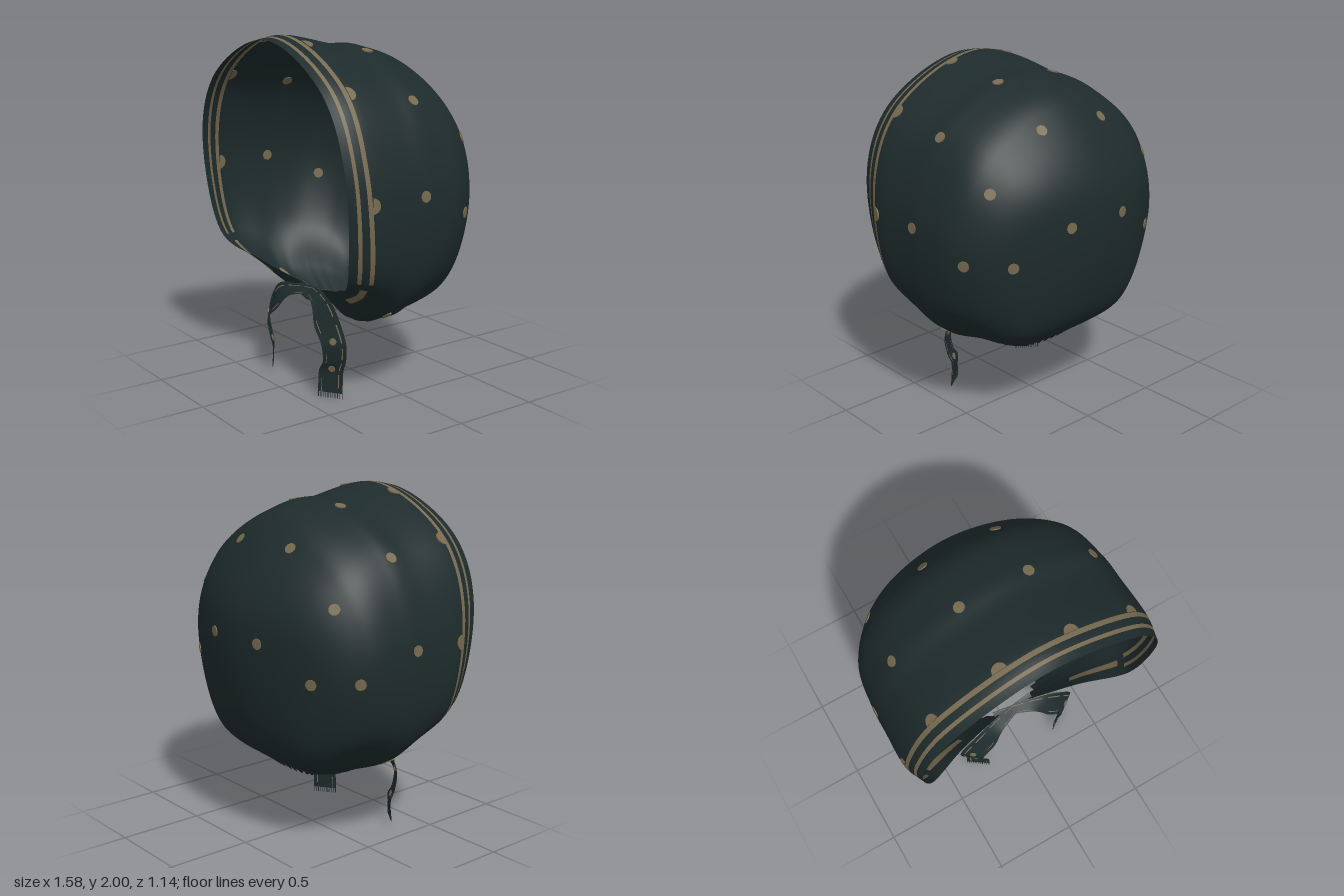
import * as THREE from 'three';

const cloth = new THREE.MeshStandardMaterial({ color: 0x1e2b2c });
cloth.name = 'darkCloth';
const trim = new THREE.MeshStandardMaterial({ color: 0x776a50 });
trim.name = 'tanPrint';
cloth.side = trim.side = THREE.DoubleSide;

// Half arches from crown to neck edge, ordered from the face rim to the nape
const ARCHES = [
  [[0, 1.98, .57], [.525, 1.765, .575], [.728, 1.36, .56], [.665, .805, .495], [.4, .65, .37], [.1, .57, .28]],
  [[0, 2, .42], [.55, 1.775, .42], [.762, 1.35, .415], [.735, .8, .36], [.46, .56, .27], [.14, .5, .24]],
  [[0, 1.945, .15], [.55, 1.74, .17], [.765, 1.32, .18], [.742, .8, .17], [.55, .53, .17], [.2, .42, .18]],
  [[0, 1.93, -.03], [.54, 1.73, -.02], [.76, 1.3, 0], [.735, .79, .02], [.55, .52, .06], [.26, .385, .09]],
  [[0, 1.8, -.3], [.51, 1.6, -.29], [.725, 1.22, -.22], [.69, .77, -.14], [.5, .53, -.03], [.27, .385, 0]],
  [[0, 1.35, -.555], [.36, 1.29, -.5], [.58, 1.05, -.39], [.575, .7, -.28], [.44, .51, -.13], [.25, .385, -.07]],
  [[0, .68, -.47], [.22, .66, -.445], [.38, .6, -.38], [.4, .53, -.29], [.32, .45, -.2], [.2, .385, -.13]],
  [[0, .385, -.18], [.05, .385, -.18], [.09, .385, -.175], [.13, .385, -.165], [.16, .385, -.155], [.18, .385, -.14]],
];

const spline = (pts) => new THREE.CatmullRomCurve3(pts.map((p) => new THREE.Vector3(...p)), false, 'catmullrom', 0.5);

// Grid surface; isTrim(column, row) picks the tan cells
function gridGeometry(rows, isTrim) {
  const pos = [], plain = [], tan = [], n = rows[0].length;
  rows.forEach((row) => row.forEach((p) => pos.push(p.x, p.y, p.z)));
  for (let j = 0; j < rows.length - 1; j++) {
    for (let i = 0; i < n - 1; i++) {
      const a = j * n + i, b = a + 1, c = a + n, d = c + 1;
      (isTrim(i, j) ? tan : plain).push(a, b, c, b, d, c);
    }
  }
  const geo = new THREE.BufferGeometry();
  geo.setAttribute('position', new THREE.Float32BufferAttribute(pos, 3));
  geo.setIndex([...plain, ...tan]);
  geo.addGroup(0, plain.length, 0);
  geo.addGroup(plain.length, tan.length, 1);
  geo.computeVertexNormals();
  return geo;
}

// Cap shell: arches lofted from rim to nape, gathered around the neck hole
function shellGeometry() {
  const arches = ARCHES.map((half) => spline([
    ...half.slice(1).reverse().map(([x, y, z]) => [-x, y, z]), ...half]));
  const cols = 144;
  const vs = [0, .1, .2, .32, .47, .6, .74, .9];
  for (let k = 0; k <= 96; k++) vs.push(1 + k / 16);
  const ribs = [];
  for (let i = 0; i <= cols; i++) {
    ribs.push(new THREE.CatmullRomCurve3(arches.map((a) => a.getPoint(i / cols)), false, 'catmullrom', 0.5));
  }
  const rows = vs.map((v) => ribs.map((rib, i) => {
    const p = rib.getPoint(v / 7), s = Math.abs(i / cols * 2 - 1);
    const side = Math.max(0, (s - .65) / .35) ** 2 * THREE.MathUtils.smoothstep(v, .9, 2);
    const back = Math.max(0, (v - 5.8) / 1.2) ** 2;
    const sidePleat = side * Math.sin(v * 9) * (1 - back);
    const backPleat = back * Math.sin((i - cols / 2) * .42);
    const out = new THREE.Vector3(p.x, 0, p.z - .05).normalize();
    p.addScaledVector(out, (sidePleat + backPleat) * .015);
    p.y += sidePleat * .006 + backPleat * .015;
    return p;
  }));
  // Twin stripes along the rim, then a short patch under each cheek
  return gridGeometry(rows, (i, j) => {
    const s = Math.abs((i + .5) / cols * 2 - 1);
    return s < .62 ? j === 3 || j === 6 : s > .65 && s < .83 && (j === 4 || j === 5);
  });
}

// Flat printed spot, its long axis or open half facing rear (or up when stretched)
function makeSpot(name, point, normal, r, half = false, stretch = 1) {
  const geo = half ? new THREE.CylinderGeometry(r, r, .009, 14, 1, false, -Math.PI / 2, Math.PI)
    : new THREE.CylinderGeometry(r, r, .009, 14);
  geo.scale(1, 1, stretch);
  const rear = stretch > 1 ? new THREE.Vector3(0, 1, 0) : new THREE.Vector3(0, 0, -1);
  const t = rear.addScaledVector(normal, -rear.dot(normal)).normalize();
  const side = new THREE.Vector3().crossVectors(normal, t);
  const m = new THREE.Mesh(geo, trim);
  m.applyMatrix4(new THREE.Matrix4().makeBasis(side, normal, t).setPosition(point));
  m.name = name;
  return m;
}

// Surface point and normal of a geometry nearest to a target
function nearest(geo, target) {
  const pos = geo.attributes.position, p = new THREE.Vector3();
  let best = 0, bestD = Infinity;
  for (let i = 0; i < pos.count; i++) {
    const d = p.fromBufferAttribute(pos, i).distanceToSquared(target);
    if (d < bestD) { bestD = d; best = i; }
  }
  return [new THREE.Vector3().fromBufferAttribute(pos, best),
    new THREE.Vector3().fromBufferAttribute(geo.attributes.normal, best)];
}

// Ribbon tie: centre line and half-width vectors swept together
function makeTie(side, endY) {
  const tie = new THREE.Group();
  const mid = spline([[-.13, .56, .265], [0, .54, .285], [.13, .52, .32], [.24, .46, .355],
    [.335, .34, .36], [.335, .23, .35], [.3, .15, .35], [.3, endY, .355]]);
  const half = spline([[0, .012, -.02], [0, .018, -.025], [.01, .03, -.035], [.045, .06, -.035],
    [.057, .02, -.042], [.055, .01, -.04], [.058, 0, -.042], [.06, 0, -.042]]);
  const across = [-1, -.75, -.68, -.3, 0, .3, .6, .7, 1], rows = [];
  for (let k = 0; k <= 56; k++) {
    const c = mid.getPoint(k / 56), h = half.getPoint(k / 56);
    rows.push(across.map((a) => c.clone().addScaledVector(h, a)));
  }
  const geo = gridGeometry(rows, (i, j) => (i === 6 && j % 7 < 5) || (i === 1 && j % 14 > 8));
  const band = new THREE.Mesh(geo, [cloth, trim]);
  band.name = 'tieRibbon';
  tie.add(band);
  [[.33, .34, .36], [.32, .17, .35]].forEach((q) => {
    tie.add(makeSpot('tieSpot', ...nearest(geo, new THREE.Vector3(...q)), .02));
  });
  // Frayed end
  const end = mid.getPoint(1), h = half.getPoint(1);
  for (let k = 0; k < 11; k++) {
    const thread = new THREE.Mesh(new THREE.BoxGeometry(.003, .03, .003), cloth);
    thread.position.copy(end).addScaledVector(h, k / 5.2 - .96);
    thread.position.y -= .015;
    thread.name = 'fringeThread';
    tie.add(thread);
  }
  tie.scale.x = side;
  tie.name = side > 0 ? 'leftTie' : 'rightTie';
  return tie;
}

export function createModel() {
  const model = new THREE.Group();
  model.name = 'bonnet';
  const geo = shellGeometry();
  const shell = new THREE.Mesh(geo, [cloth, trim]);
  shell.name = 'capShell';
  model.add(shell);

  // Printed spots, mirrored left and right
  const spots = [[.205, 1.92, .035], [.6, 1.68, .03], [.215, 1.74, -.36], [.57, 1.44, -.335],
    [.205, 1.225, -.56], [.495, 1.05, -.43], [.69, 1.05, -.24], [.78, 1.19, .08]];
  const scallops = [[.205, 1.96, .437], [.6, 1.73, .437], [.77, 1.2, .425]];
  for (const s of [1, -1]) {
    const at = ([x, y, z]) => nearest(geo, new THREE.Vector3(x * s, y, z));
    spots.forEach((q) => model.add(makeSpot('printedSpot', ...at(q), .031)));
    scallops.forEach((q) => model.add(makeSpot('rimScallop', ...at(q), .042, true)));
    model.add(makeSpot('pleatSpot', ...at([.5, .5, .13]), .017, false, 3.4));
  }

  // Ties crossing under the chin
  model.add(makeTie(1, .03), makeTie(-1, .055));
  return model;
}
